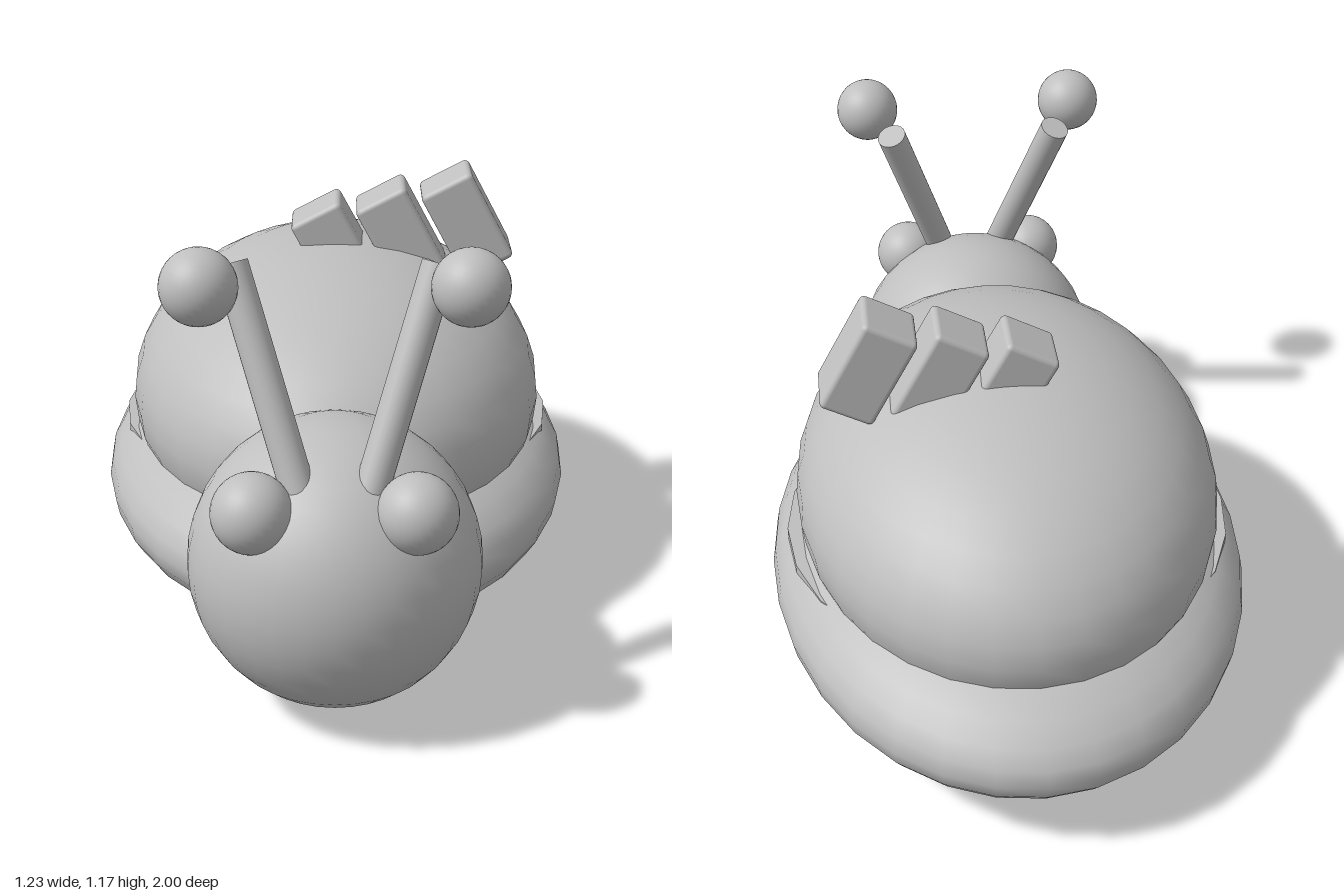
import * as THREE from 'three';
import { RoundedBoxGeometry } from 'three/addons/geometries/RoundedBoxGeometry.js';

export function createModel() {
  const model = new THREE.Group();
  const grey = new THREE.MeshStandardMaterial({ color: 0xbfbfbf });
  grey.name = 'plain grey';

  const add = (name, geometry, x, y, z) => {
    const mesh = new THREE.Mesh(geometry, grey);
    mesh.name = name;
    mesh.position.set(x, y, z);
    model.add(mesh);
    return mesh;
  };
  const ellipsoid = (rx, ry, rz) => new THREE.SphereGeometry(1, 32, 20).scale(rx, ry, rz);

  // Flattened body, domed shell and the rim disc between them
  add('body', ellipsoid(0.615, 0.26, 0.86), 0, 0.263, -0.14);
  add('shell', ellipsoid(0.54, 0.385, 0.715), 0, 0.48, -0.13);
  add('shellRim', new THREE.CylinderGeometry(0.57, 0.57, 0.09, 24), 0, 0.345, -0.165);

  // Round head
  add('head', ellipsoid(0.343, 0.343, 0.343), 0, 0.36, 0.655);

  // Eyes, feelers and the balls floating in front of the feeler tips
  for (const [side, s] of [['left', 1], ['right', -1]]) {
    add(side + 'Eye', ellipsoid(0.091, 0.091, 0.091), s * 0.18, 0.583, 0.86);
    const base = new THREE.Vector3(s * 0.075, 0.6, 0.822);
    const tip = new THREE.Vector3(s * 0.226, 1.08, 0.648);
    const axis = tip.clone().sub(base);
    const mid = base.clone().add(tip).multiplyScalar(0.5);
    const feeler = add(side + 'Feeler',
      new THREE.CylinderGeometry(0.039, 0.039, axis.length(), 20), mid.x, mid.y, mid.z);
    feeler.quaternion.setFromUnitVectors(new THREE.Vector3(0, 1, 0), axis.normalize());
    add(side + 'FeelerBall', ellipsoid(0.084, 0.084, 0.084), s * 0.284, 1.085, 0.808);
  }

  // Row of tilted blocks rising across the shell
  for (let i = 0; i < 3; i++) {
    const block = add('shellBlock' + (i + 1), new RoundedBoxGeometry(0.145, 0.258, 0.148, 3, 0.014),
      0.003 + i * 0.17, 0.83 + i * 0.04, -0.183);
    block.rotation.z = 0.49;
  }
  return model;
}
